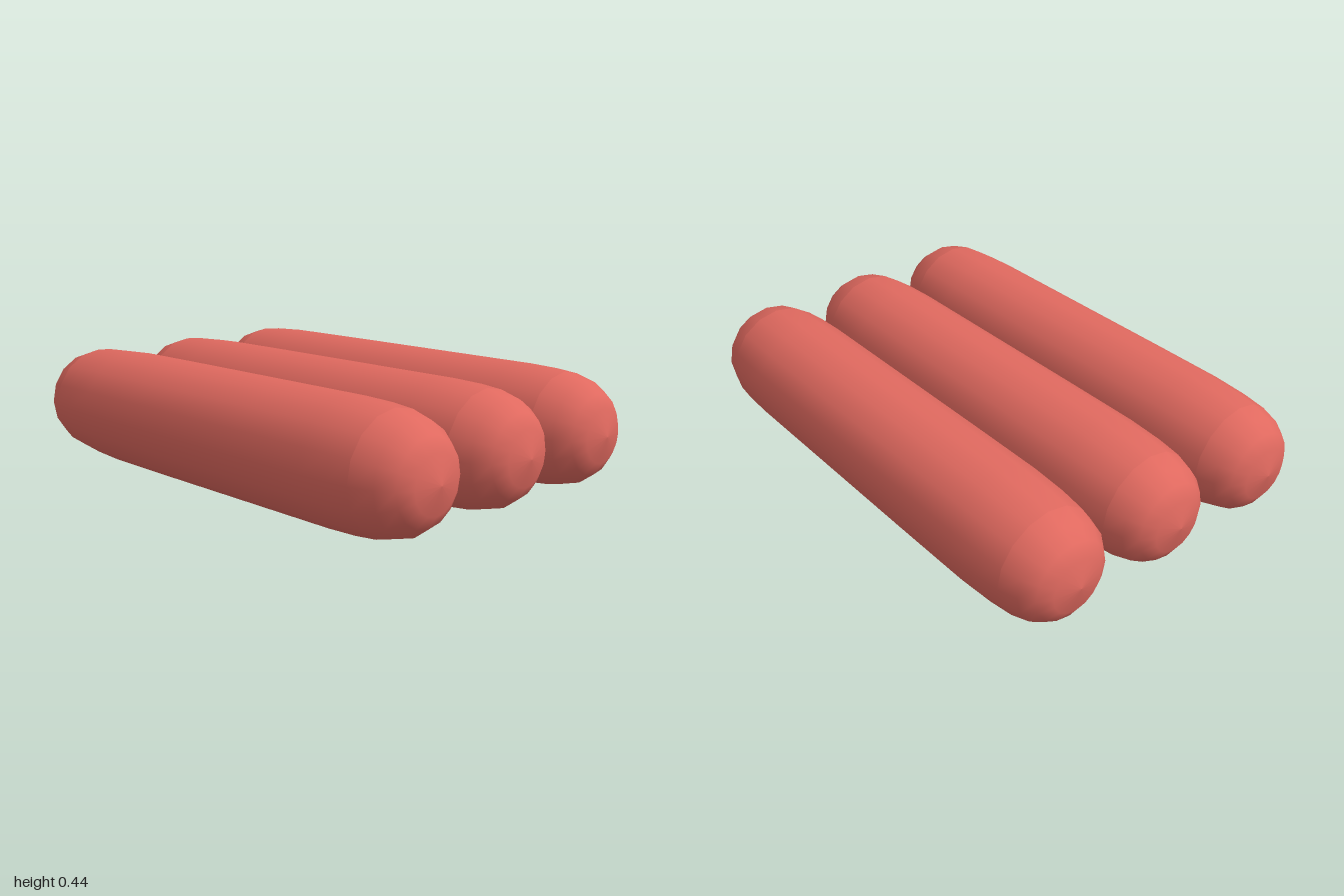
import * as THREE from 'three';

const SIDES = 16;
const SPACING = 0.45;
const HEIGHT = 0.225;

// Profiles are [radius, z], running from back to front
const BACK_CAP = [[0, -0.998], [0.1, -0.98], [0.147, -0.951], [0.182, -0.905], [0.203, -0.835]];
const BODY = [[0.203, -0.835], [0.214, -0.74], [0.221, -0.6], [0.222, -0.3], [0.222, 0.3], [0.222, 0.6], [0.218, 0.72], [0.21, 0.805]];
const FRONT_CAP = [[0.21, 0.805], [0.187, 0.89], [0.147, 0.945], [0.1, 0.977], [0, 0.996]];

// Sixteen-sided lathe laid along z
function turned(profile) {
  const points = profile.map(([r, z]) => new THREE.Vector2(r, z));
  return new THREE.LatheGeometry(points, SIDES).rotateX(Math.PI / 2);
}

export function createModel() {
  const model = new THREE.Group();
  model.name = 'sausages';
  const material = new THREE.MeshStandardMaterial({ color: 0xe0695f });

  // Separate caps keep the seam where each rounded end meets the body
  const parts = {
    body: turned(BODY),
    frontCap: turned(FRONT_CAP),
    backCap: turned(BACK_CAP),
  };

  // Three sausages side by side
  [['right', -1], ['middle', 0], ['left', 1]].forEach(([side, i]) => {
    const sausage = new THREE.Group();
    sausage.name = `${side}Sausage`;
    for (const [name, geometry] of Object.entries(parts)) {
      const mesh = new THREE.Mesh(geometry, material);
      mesh.name = name;
      sausage.add(mesh);
    }
    sausage.position.set(i * SPACING, HEIGHT, 0);
    model.add(sausage);
  });
  return model;
}
